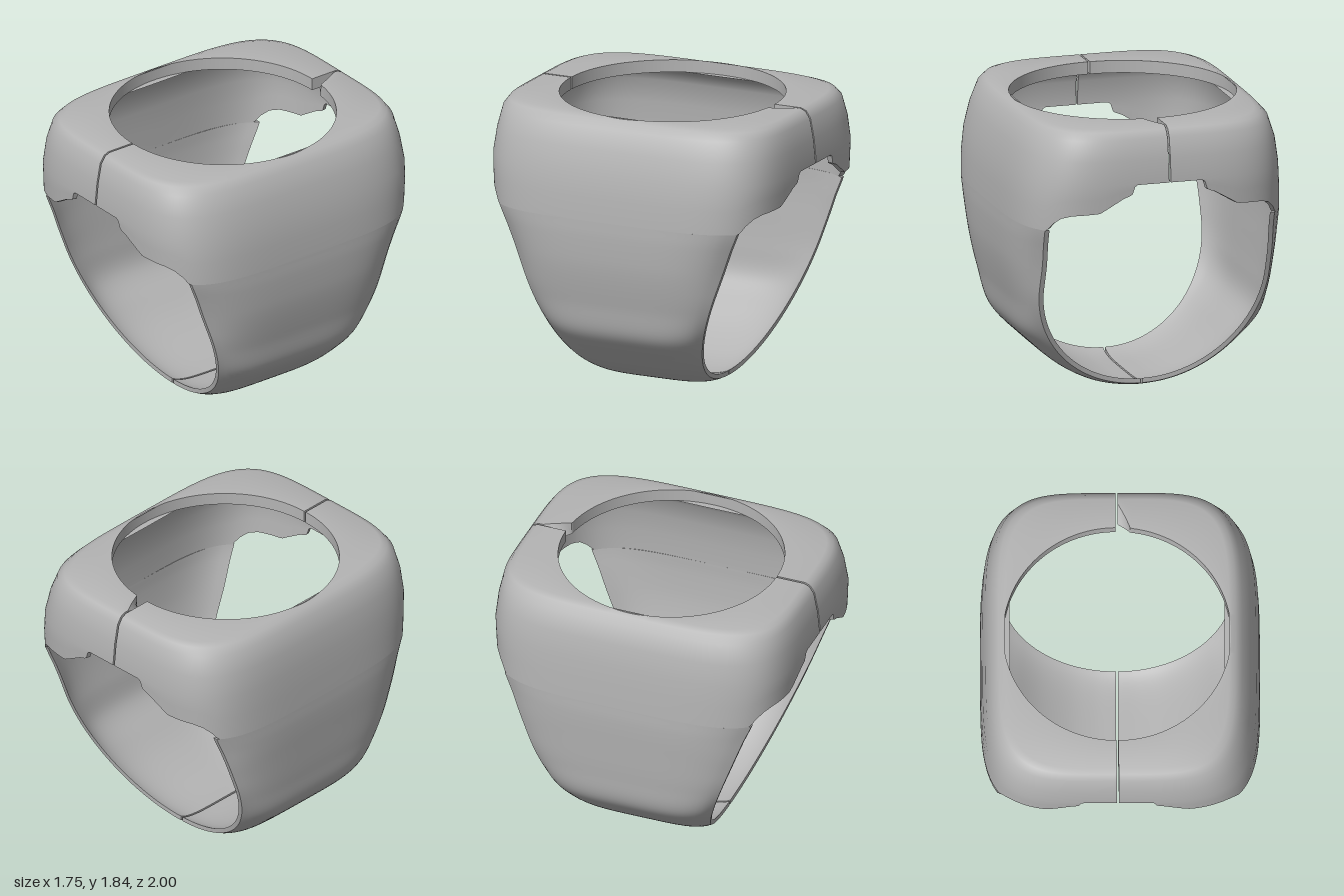
import * as THREE from 'three';
import { toCreasedNormals } from 'three/addons/utils/BufferGeometryUtils.js';

const CX = -0.027;   // plane where the two halves meet
const GAP = 0.006;   // half width of the slit
const HOLE = 0.707;  // radius of the round opening in the top
const BORE = 0.716;  // radius of the finger opening
const WALL = 0.03;   // thickness of the hollow shell
const N = 4.4;       // squareness of the outer plan
const JOIN = 1.2;    // height where band and head meet

const lerp = THREE.MathUtils.lerp;
const smooth = THREE.MathUtils.smoothstep;

// piecewise linear lookup in rows [key, value, value...]
function look(rows, k, col = 1) {
  if (k <= rows[0][0]) return rows[0][col];
  for (let i = 1; i < rows.length; i++) {
    const a = rows[i - 1], b = rows[i];
    if (k <= b[0]) return lerp(a[col], b[col], (k - a[0]) / (b[0] - a[0]));
  }
  return rows[rows.length - 1][col];
}

// head: height, half width, half depth
const HEAD = [
  [JOIN, 0.869, 0.975], [1.25, 0.868, 0.98], [1.34, 0.865, 0.99], [1.5, 0.85, 1.0],
  [1.65, 0.822, 0.985], [1.78, 0.777, 0.96], [1.825, 0.735, 0.93], [1.84, 0.695, 0.895],
];
// stepped arch under the head: distance from the middle, height
const ARCH = [
  [0.2, 1.495], [0.222, 1.48], [0.235, 1.43], [0.29, 1.41], [0.44, 1.32],
  [0.61, 1.308], [0.67, 1.29], [0.715, 1.25], [0.746, JOIN],
];
// outer outline of the band, from the bottom up
const BAND = [
  [0, 0.005], [0.15, 0.02], [0.3, 0.06], [0.48, 0.155], [0.63, 0.28], [0.775, 0.44],
  [0.82, 0.65], [0.855, 0.9], [0.869, 1.1], [0.869, JOIN],
];

// slight widening of the one half and narrowing of the other
const shift = (y, side) => side * 0.018 * smooth(y, 0.5, 0.95) * (1 - smooth(y, 1.35, 1.8));

// skin closed loops (outer points, then inner points backwards) into a capped solid
function skin(rows, flip) {
  const loops = rows.map(({ out, inn }) => [...out, ...inn.reverse()]);
  const idx = [], m = loops[0].length;
  const quad = (a, b, c, d) => (flip ? idx.push(a, c, b, a, d, c) : idx.push(a, b, c, a, c, d));
  for (let i = 0; i < loops.length - 1; i++) {
    for (let j = 0; j < m; j++) {
      const k = (j + 1) % m, a = i * m, b = a + m;
      quad(a + j, b + j, b + k, a + k);
    }
  }
  const last = (loops.length - 1) * m;
  for (let j = 0; j < m / 2 - 1; j++) {
    const p = m - 1 - j;
    quad(j, j + 1, p - 1, p);
    quad(last + p, last + p - 1, last + j + 1, last + j);
  }
  const g = new THREE.BufferGeometry();
  g.setAttribute('position', new THREE.Float32BufferAttribute(loops.flat(2), 3));
  g.setIndex(idx);
  return toCreasedNormals(g, 0.6);
}

// hollow square head with a round hole, swept around the vertical axis
function headHalf(side) {
  const rows = [], steps = 200;
  for (let i = 0; i <= steps; i++) {
    const a = (i / steps) * Math.PI;
    const s = Math.sin(a), c = Math.cos(a);
    const at = (r, y) => [CX + side * (r * s + GAP), y, r * c];
    const radius = (y, grow) => {
      const w = look(HEAD, y, 1) + grow, d = look(HEAD, y, 2);
      return Math.pow(Math.pow(s / w, N) + Math.pow(Math.abs(c) / d, N), -1 / N);
    };
    const base = look(ARCH, radius(JOIN, 0) * s);
    // chipped rim at the back, on one half only
    const chip = side > 0 && c < 0 ? Math.max(0, 1 - (HOLE * s) / 0.08) : 0;
    const out = [at(HOLE + 0.16 * chip, 1.84)];
    const inn = [at(HOLE + 0.05 * chip, 1.76)];
    for (const y of [1.84, 1.825, 1.78, 1.65, 1.5, lerp(1.5, base, 0.5), base]) {
      const r = radius(y, shift(y, side));
      out.push(at(r, y));
      inn.push(at(r - WALL, y - 0.08 * smooth(y, 1.65, 1.84)));
    }
    rows.push({ out, inn });
  }
  return skin(rows, side > 0);
}

// hollow tapering band, swept from the bottom slit up to the head
function bandHalf(side) {
  const curve = new THREE.CatmullRomCurve3(
    BAND.map(([x, y]) => new THREE.Vector3(x, y, 0)), false, 'centripetal');
  const EDGE = 0.85;
  const fall = (t) => 1 - Math.pow(1 - Math.pow(EDGE * Math.abs(t), N), 1 / N);
  const rows = [], M = 32;
  for (const o of curve.getPoints(72)) {
    // rim at the edge of the finger opening: round below, straight above
    const dy = Math.min(o.y - 0.79, 0), len = Math.hypot(o.x, dy);
    const nx = o.x / len, ny = dy / len;
    const grow = shift(o.y, side);
    const rx = nx * (BORE + WALL) + EDGE * grow * smooth(o.y, 0.9, JOIN);
    const ry = dy < 0 ? 0.79 + ny * (BORE + WALL) : o.y;
    const half = 0.39 + 0.372 * (ry - 0.035) + 0.006 * smooth(o.y, 1.05, JOIN);
    const at = (x, y, z) => [CX + side * (x + GAP), y, z];
    const out = [], inn = [];
    for (let j = 0; j <= M; j++) {
      const t = (j / M) * 2 - 1, g = fall(t) / fall(1);
      const x = lerp(o.x + grow, rx, g), y = lerp(o.y, ry, g);
      out.push(at(x, y, t * half));
      inn.push(at(x - nx * WALL, y - ny * WALL, t * half));
    }
    rows.push({ out, inn });
  }
  return skin(rows, side < 0);
}

export function createModel() {
  const metal = new THREE.MeshStandardMaterial({ color: 0xb4b4b4, side: THREE.DoubleSide });
  metal.name = 'grey metal';
  const ring = new THREE.Group();
  ring.name = 'ring';
  for (const [side, label] of [[1, 'left'], [-1, 'right']]) {
    const half = new THREE.Group();
    half.name = label + 'Half';
    const head = new THREE.Mesh(headHalf(side), metal);
    head.name = label + 'Head';
    const band = new THREE.Mesh(bandHalf(side), metal);
    band.name = label + 'Band';
    half.add(head, band);
    ring.add(half);
  }
  return ring;
}
